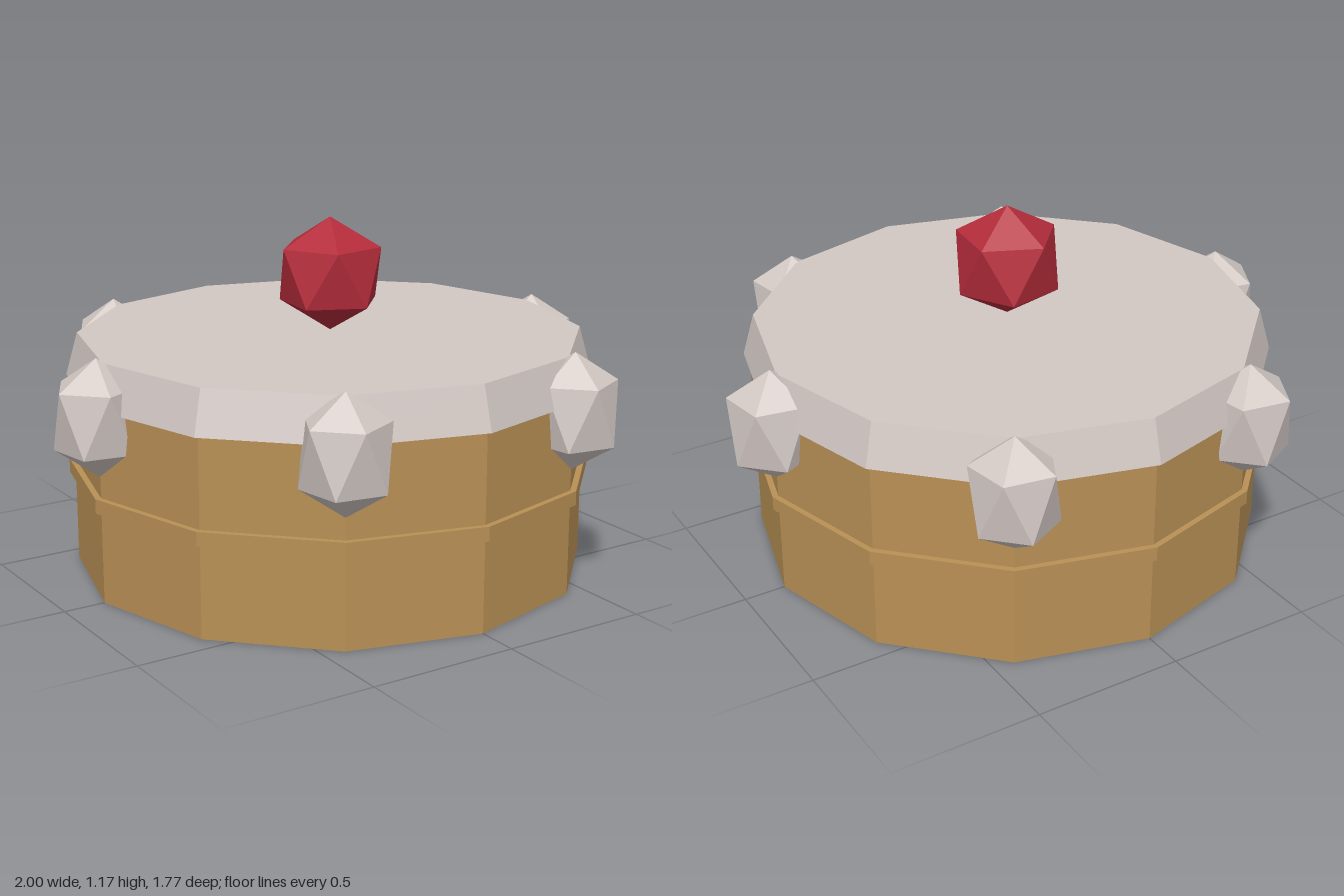
import * as THREE from 'three';

const SIDES = 12;

// Faceted crystal: two staggered five-point rings between a top and a bottom point.
function crystalGeometry(ringRadius, halfHeight, ringHeight, turn) {
  const n = 5;
  const step = (Math.PI * 2) / n;
  const ring = (i, y, shift) => {
    const a = turn + (i + shift) * step;
    return [Math.cos(a) * ringRadius, y, Math.sin(a) * ringRadius];
  };
  const upper = (i) => ring(i, ringHeight, 0);
  const lower = (i) => ring(i, -ringHeight, 0.5);
  const top = [0, halfHeight, 0];
  const bottom = [0, -halfHeight, 0];
  const points = [];
  for (let i = 0; i < n; i++) {
    points.push(
      top, upper(i + 1), upper(i),
      upper(i), upper(i + 1), lower(i),
      lower(i), upper(i + 1), lower(i + 1),
      lower(i), lower(i + 1), bottom
    );
  }
  const geometry = new THREE.BufferGeometry();
  geometry.setAttribute('position', new THREE.Float32BufferAttribute(points.flat(), 3));
  geometry.computeVertexNormals();
  return geometry;
}

export function createModel() {
  const model = new THREE.Group();
  model.name = 'studdedDrum';

  const material = (name, color) => {
    const m = new THREE.MeshStandardMaterial({ color, flatShading: true });
    m.name = name;
    return m;
  };
  const tan = material('tan', 0xb99055);
  const paleGrey = material('paleGrey', 0xd2c8c4);
  const red = material('red', 0xb52c3b);

  const add = (name, geometry, mat, x, y, z) => {
    const mesh = new THREE.Mesh(geometry, mat);
    mesh.name = name;
    mesh.position.set(x, y, z);
    model.add(mesh);
  };

  // Twelve-sided layer between two heights
  const layer = (name, topRadius, bottomRadius, y0, y1, mat) =>
    add(name, new THREE.CylinderGeometry(topRadius, bottomRadius, y1 - y0, SIDES),
      mat, 0, (y0 + y1) / 2, 0);

  layer('body', 0.86, 0.86, 0, 0.66, tan);
  layer('band', 0.88, 0.88, 0.305, 0.352, tan);
  layer('lid', 0.84, 0.88, 0.645, 0.788, paleGrey);

  // Six studs around the rim, all facing the same way
  const studShape = crystalGeometry(0.14, 0.192, 0.1, THREE.MathUtils.degToRad(27));
  for (let i = 0; i < 6; i++) {
    const a = (i * Math.PI) / 3;
    add('stud' + (i + 1), studShape, paleGrey, Math.cos(a) * 0.861, 0.615, Math.sin(a) * 0.861);
  }

  // Gem balanced on the lid
  add('gem', crystalGeometry(0.17, 0.19, 0.093, THREE.MathUtils.degToRad(42)), red, 0, 0.978, 0);

  return model;
}
